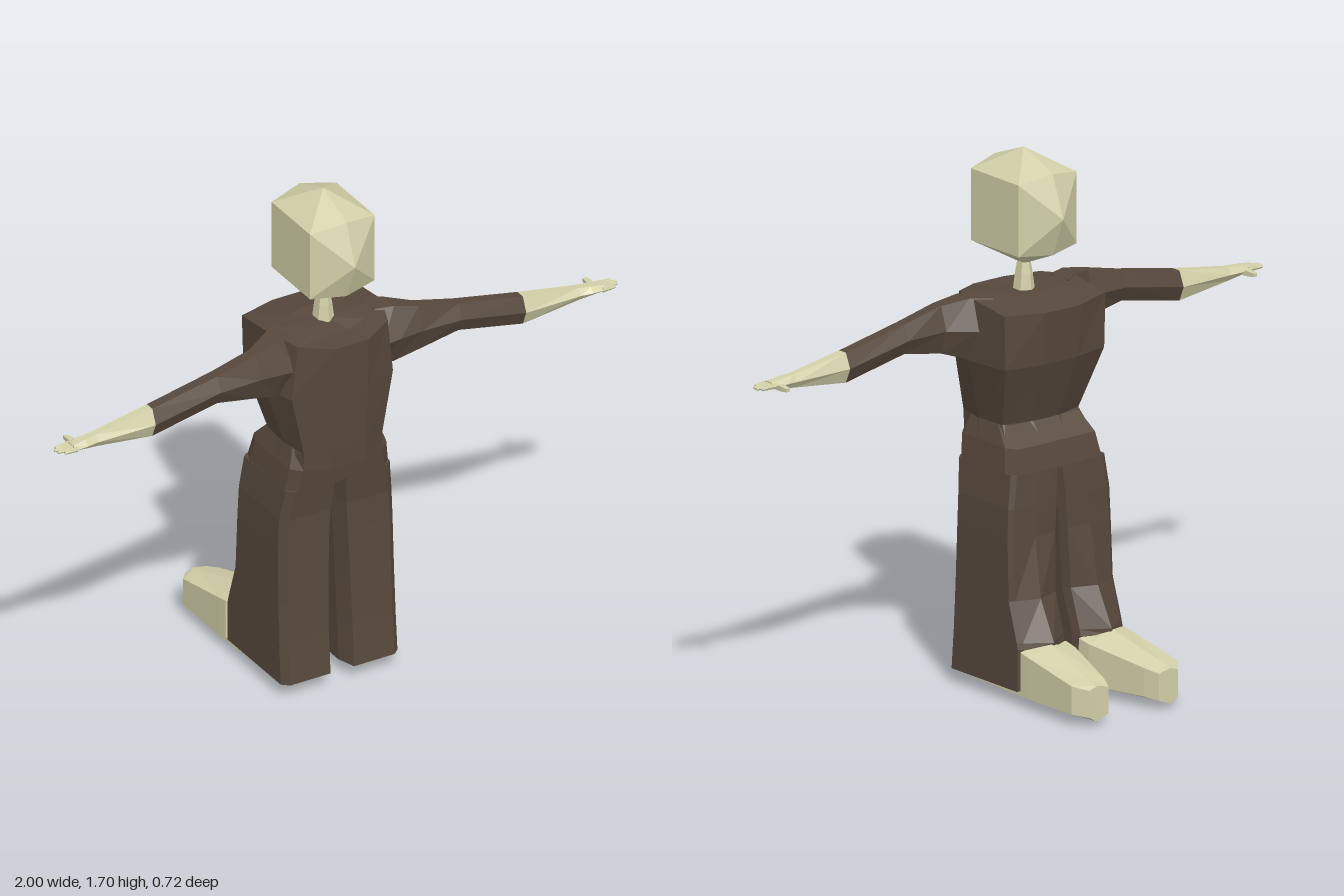
import * as THREE from 'three';
import { ConvexGeometry } from 'three/addons/geometries/ConvexGeometry.js';

const cloth = new THREE.MeshStandardMaterial({ color: 0x57483c, flatShading: true });
cloth.name = 'brown cloth';
const skin = new THREE.MeshStandardMaterial({ color: 0xd2d0a8, flatShading: true });
skin.name = 'pale skin';

// Skin a list of equal-length point rings, cap both ends, face outwards.
function loft(name, rings, material, side = 1) {
  const pos = [];
  const R = rings.map(r => r.map(p => new THREE.Vector3(p[0] * side, p[1], p[2])));
  const n = R[0].length, tris = [];
  const middle = r => r.reduce((s, p) => s.add(p), new THREE.Vector3()).divideScalar(n);
  for (let i = 0; i < R.length - 1; i++) {
    for (let j = 0; j < n; j++) {
      const k = (j + 1) % n, a = R[i][j], b = R[i][k], c = R[i + 1][k], d = R[i + 1][j];
      tris.push([a, b, c], [a, c, d]);
    }
  }
  const first = R[0], last = R[R.length - 1], m0 = middle(first), m1 = middle(last);
  for (let j = 0; j < n; j++) {
    const k = (j + 1) % n;
    tris.push([m0, first[k], first[j]], [m1, last[j], last[k]]);
  }
  let volume = 0;
  for (const [a, b, c] of tris) {
    volume += a.clone().sub(m0).dot(b.clone().sub(m0).cross(c.clone().sub(m0)));
  }
  for (const [a, b, c] of tris) {
    for (const p of volume > 0 ? [a, b, c] : [a, c, b]) pos.push(p.x, p.y, p.z);
  }
  const g = new THREE.BufferGeometry();
  g.setAttribute('position', new THREE.Float32BufferAttribute(pos, 3));
  g.computeVertexNormals();
  const mesh = new THREE.Mesh(g, material);
  mesh.name = name;
  return mesh;
}

// Mirror a half ring across x = 0
const whole = half => [...half, ...half.map(([x, y, z]) => [-x, y, z]).reverse()];

// Six-sided limb section across x: top/bottom heights, back/front depths
function limbRing([x, top, bottom, back, front]) {
  const y = (top + bottom) / 2, q = (front - back) * 0.28;
  return [[x, y, front], [x, top, front - q], [x, top, back + q],
    [x, y, back], [x, bottom, back + q], [x, bottom, front - q]];
}

function makeHead() {
  const pts = [];
  const octagon = [[1.705, 0.17], [1.65, 0.31], [1.515, 0.36], [1.39, 0.31],
    [1.33, 0.17], [1.39, 0.03], [1.515, -0.02], [1.65, 0.03]];
  for (const [y, z] of octagon) pts.push(new THREE.Vector3(0, y, z));
  for (const x of [-0.115, 0.115]) {
    for (const y of [1.4, 1.63]) for (const z of [0.055, 0.285]) pts.push(new THREE.Vector3(x, y, z));
  }
  const head = new THREE.Mesh(new ConvexGeometry(pts), skin);
  head.name = 'head';
  return head;
}

function makeTorso() {
  // Each row: y, then x,z of chest, front corner, side, back corner, back centre
  const section = (y, ...xz) => whole(xz.map(([x, z]) => [x, y, z]));
  const rings = [
    section(0.86, [0.06, 0.328], [0.14, 0.29], [0.155, 0.2], [0.15, 0.09], [0.05, 0.065]),
    section(1.06, [0.06, 0.336], [0.18, 0.285], [0.215, 0.18], [0.195, 0.02], [0.07, -0.005]),
    whole([[0.06, 1.235, 0.342], [0.16, 1.245, 0.288], [0.2, 1.255, 0.18], [0.2, 1.235, 0.02], [0.07, 1.23, -0.02]]),
    whole([[0.04, 1.235, 0.26], [0.1, 1.25, 0.25], [0.11, 1.258, 0.18], [0.1, 1.255, 0.12], [0.04, 1.255, 0.1]]),
  ];
  rings.unshift(section(0.8, [0.06, 0.324], [0.14, 0.288], [0.172, 0.18], [0.165, 0.05], [0.05, 0.015]));
  return loft('torso', rings, cloth);
}

function makeHips() {
  const ring = (y, w, front, back) => whole([[0.05, y, front], [w - 0.03, y, front],
    [w, y, front - 0.03], [w, y, back + 0.04], [w - 0.02, y, back], [0.05, y, back]]);
  return loft('hips', [ring(0.72, 0.185, 0.277, -0.005), ring(0.8, 0.172, 0.288, 0.012),
    ring(0.86, 0.152, 0.27, 0.068)], cloth);
}

function makeLeg(side) {
  // y, inner x, outer x, front z, back z, back ridge z
  const rows = [
    [0.05, 0.022, 0.208, 0.285, -0.065, -0.066],
    [0.185, 0.022, 0.207, 0.275, -0.065, -0.115],
    [0.205, 0.022, 0.207, 0.274, -0.06, -0.115],
    [0.33, 0.02, 0.206, 0.268, -0.02, -0.05],
    [0.52, 0.014, 0.204, 0.262, -0.012, -0.018],
    [0.62, 0.008, 0.2, 0.262, -0.01, -0.014],
    [0.725, 0, 0.185, 0.277, -0.004, -0.006],
  ];
  return loft('trouserLeg', rows.map(([y, a, b, f, k, r]) => [
    [a, y, f - 0.06], [a + 0.02, y, f], [b - 0.022, y, f], [b, y, f - 0.02],
    [b, y, k + 0.012], [b - 0.015, y, k], [(a + b) / 2, y, r], [a + 0.01, y, k], [a, y, k + 0.03],
  ]), cloth, side);
}

function makeFoot(side) {
  // z, inner x, middle x, outer x, keel y, lower side y, upper side y, ridge y
  const rows = [
    [0.28, 0.045, 0.115, 0.185, 0.047, 0.05, 0.053, 0.053],
    [0.13, 0.024, 0.118, 0.206, 0.025, 0.046, 0.053, 0.053],
    [-0.064, 0.024, 0.12, 0.206, 0.008, 0.04, 0.053, 0.053],
    [-0.066, 0.024, 0.12, 0.207, 0.008, 0.04, 0.18, 0.2],
    [-0.11, 0.026, 0.122, 0.209, 0.005, 0.04, 0.172, 0.2],
    [-0.315, 0.08, 0.145, 0.21, 0.016, 0.042, 0.133, 0.142],
    [-0.36, 0.1, 0.145, 0.175, 0.018, 0.035, 0.122, 0.132],
  ];
  return loft('foot', rows.map(([z, a, m, b, keel, low, high, ridge]) => [
    [a, low, z], [m, keel, z], [b, low, z], [b, high, z], [m, ridge, z], [a, high, z],
  ]), skin, side);
}

function makeArm(side) {
  const arm = new THREE.Group();
  arm.name = side > 0 ? 'leftArm' : 'rightArm';
  const limb = (name, rows, material) => arm.add(loft(name, rows.map(limbRing), material, side));
  limb('sleeve', [[0.15, 1.255, 1.05, 0.08, 0.28], [0.21, 1.257, 1.062, 0.135, 0.282],
    [0.29, 1.24, 1.087, 0.19, 0.281], [0.43, 1.207, 1.113, 0.198, 0.28], [0.66, 1.162, 1.066, 0.203, 0.277]], cloth);
  limb('forearm', [[0.66, 1.162, 1.066, 0.203, 0.277], [0.86, 1.13, 1.088, 0.217, 0.268],
    [0.9, 1.126, 1.094, 0.214, 0.276], [0.945, 1.12, 1.1, 0.22, 0.278]], skin);
  // Four fingers and a thumb
  [0.99, 1, 0.997, 0.98].forEach((tip, i) => {
    const z = 0.221 + i * 0.0145;
    limb('finger', [[0.935, 1.118, 1.101, z, z + 0.013], [tip, 1.112, 1.104, z + 0.002, z + 0.011]], skin);
  });
  arm.add(loft('thumb', [[0.235, 0.022], [0.205, 0.02], [0.18, 0.014]].map(([z, w], i) => {
    const x = 0.91 + i * 0.004, h = w * 0.4;
    return [[x, 1.105 - h, z], [x + w, 1.105 - h, z], [x + w, 1.105 + h, z], [x, 1.105 + h, z]];
  }), skin, side));
  return arm;
}

export function createModel() {
  const model = new THREE.Group();
  model.name = 'figure';
  const neckRing = (y, w, d) => Array.from({ length: 6 }, (_, i) => {
    const a = i * Math.PI / 3;
    return [w * Math.sin(a), y, 0.17 + d * Math.cos(a)];
  });
  const neck = loft('neck', [neckRing(1.24, 0.034, 0.038), neckRing(1.3, 0.026, 0.032),
    neckRing(1.35, 0.018, 0.022)], skin);
  model.add(makeHead(), neck, makeTorso(), makeHips());
  for (const side of [1, -1]) model.add(makeLeg(side), makeFoot(side), makeArm(side));
  return model;
}
